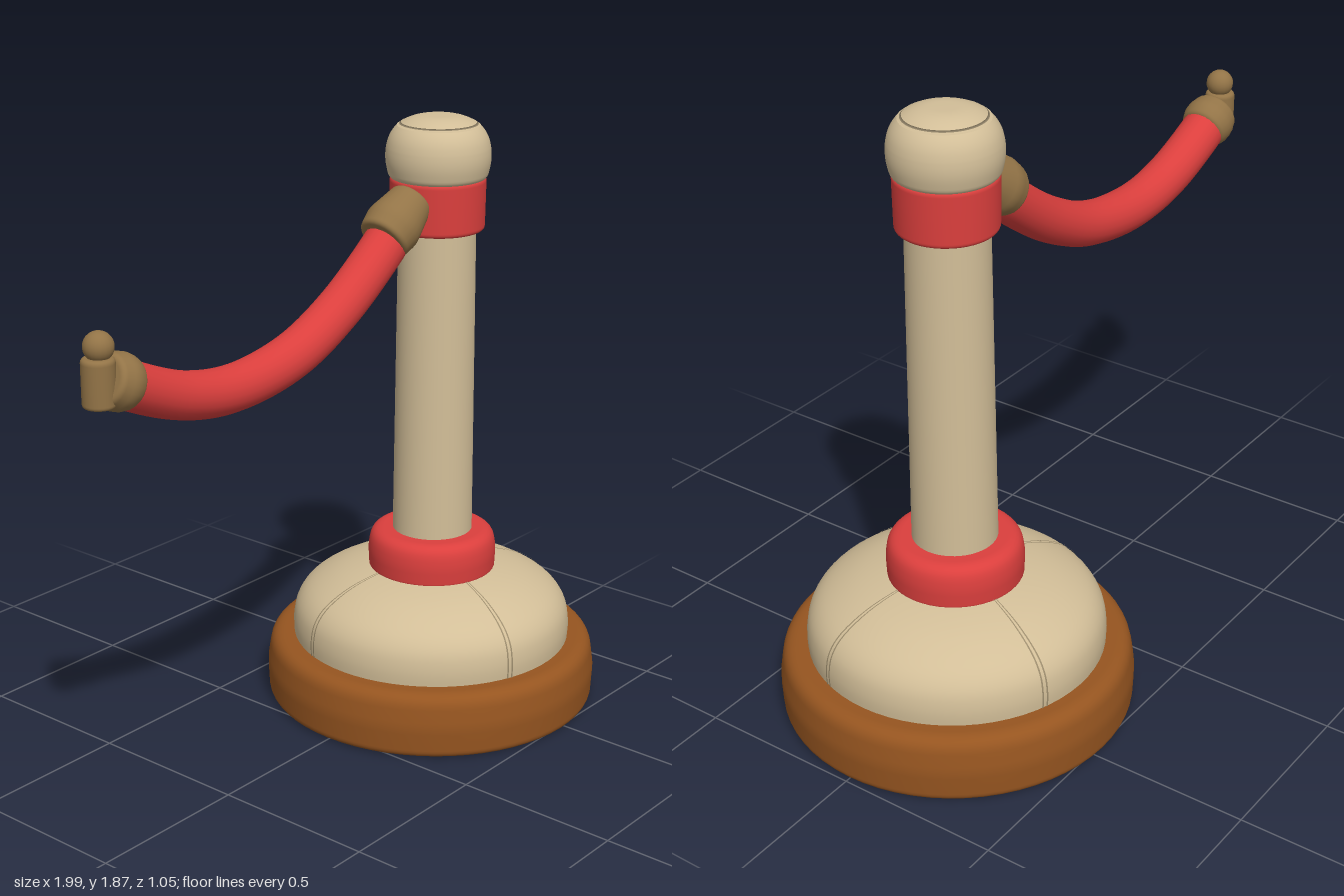
import * as THREE from 'three';

const mat = (name, color, side = THREE.FrontSide) => {
  const m = new THREE.MeshStandardMaterial({ color, side });
  m.name = name;
  return m;
};

export function createModel() {
  const stone = mat('cream stone', 0xd2be98);
  const red = mat('red', 0xdb3f3d);
  const wood = mat('brown wood', 0x965520);
  const brass = mat('brass', 0x937447);
  const seam = mat('seam shade', 0x9c8c6d, THREE.DoubleSide);

  const group = new THREE.Group();
  const add = (name, geometry, material, parent = group) => {
    const mesh = new THREE.Mesh(geometry, material);
    mesh.name = name;
    parent.add(mesh);
    return mesh;
  };
  // Closed turned solid: corners are [radius, height, rounding], listed bottom to top
  const turned = (corners, segments = 48) => {
    const v = corners.map(([r, y]) => new THREE.Vector2(r, y));
    const pts = [new THREE.Vector2(0, v[0].y)];
    corners.forEach(([, , round], i) => {
      const prev = i ? v[i - 1] : pts[0];
      const next = v[i + 1] ?? new THREE.Vector2(0, v[i].y);
      const a = v[i].clone().add(prev.clone().sub(v[i]).setLength(round));
      const b = v[i].clone().add(next.clone().sub(v[i]).setLength(round));
      pts.push(...new THREE.QuadraticBezierCurve(a, v[i], b).getPoints(6));
    });
    pts.push(new THREE.Vector2(0, v.at(-1).y));
    return new THREE.LatheGeometry(pts, segments);
  };

  // Everything on the upright shares one axis
  const post = new THREE.Group();
  post.name = 'post';
  post.position.x = 0.47;
  group.add(post);

  add('base', turned([[0.522, 0, 0.025], [0.527, 0.1, 0.02], [0.512, 0.203, 0.045]], 64), wood, post);

  // Domed plinth with four radial seams
  const dome = new THREE.SplineCurve([[0.44, 0.19], [0.442, 0.25], [0.428, 0.31], [0.385, 0.36],
    [0.3, 0.405], [0.2, 0.432], [0.12, 0.44]].map(p => new THREE.Vector2(...p))).getPoints(24);
  add('dome', new THREE.LatheGeometry(dome, 64), stone, post);
  const raised = dome.map(p => new THREE.Vector2(p.x + 0.002, p.y + 0.002));
  for (let i = 0; i < 4; i++) {
    for (const offset of [-0.02, 0.014]) {
      add('domeSeam', new THREE.LatheGeometry(raised, 1, -0.335 + offset + i * Math.PI / 2, 0.012), seam, post);
    }
  }

  add('lowerCollar', turned([[0.2, 0.425, 0.012], [0.203, 0.49, 0.02], [0.193, 0.557, 0.04]]), red, post);
  add('column', turned([[0.126, 0.5, 0.005], [0.118, 1.56, 0.005]]), stone, post);
  add('upperCollar', turned([[0.144, 1.527, 0.015], [0.146, 1.69, 0.015]]), red, post);
  add('cap', turned([[0.148, 1.682, 0.02], [0.162, 1.745, 0.03], [0.15, 1.825, 0.045], [0.085, 1.872, 0.05]]), stone, post);

  // Sagging rope
  const ropePath = new THREE.CatmullRomCurve3([[0.27, 1.575], [0.2, 1.512], [0, 1.373], [-0.2, 1.284],
    [-0.45, 1.25], [-0.65, 1.28], [-0.85, 1.36], [-0.9, 1.388]].map(([x, y]) => new THREE.Vector3(x, y, 0)));
  add('rope', new THREE.TubeGeometry(ropePath, 48, 0.068, 20), red);

  // Brass cuffs at both rope ends, turned along their own axis
  const cuff = (name, from, to, corners) => {
    const start = new THREE.Vector3(...from, 0);
    const dir = new THREE.Vector3(...to, 0).sub(start).normalize();
    const mesh = add(name, turned(corners, 24), brass);
    mesh.position.copy(start);
    mesh.quaternion.setFromUnitVectors(new THREE.Vector3(0, 1, 0), dir);
  };
  cuff('postCuff', [0.205, 1.54], [0.35, 1.64],
    [[0.078, 0, 0.015], [0.088, 0.06, 0.02], [0.066, 0.17, 0.015]]);
  cuff('endCuff', [-0.845, 1.362], [-0.95, 1.405],
    [[0.07, 0, 0.015], [0.083, 0.04, 0.02], [0.07, 0.095, 0.015]]);

  // Hook peg with its knob at the free end
  const peg = add('endPeg', turned([[0.046, 1.325, 0.012], [0.046, 1.46, 0.015]], 24), brass);
  peg.position.x = -0.952;
  const knob = add('endKnob', new THREE.SphereGeometry(0.042, 20, 14), brass);
  knob.position.set(-0.948, 1.488, 0);

  return group;
}
